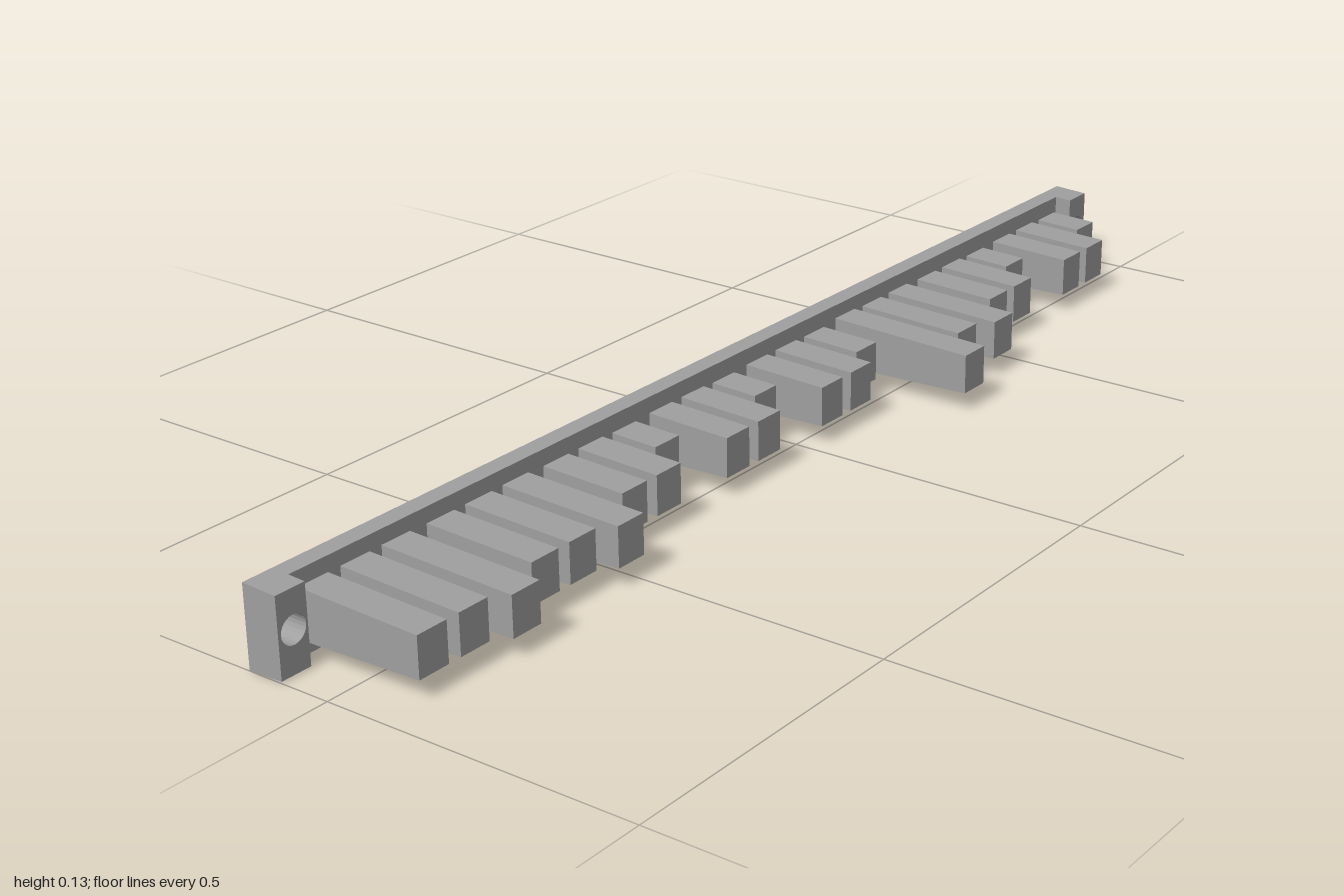
import * as THREE from 'three';

const MID = 0.063;      // height of the centre line
const BACK = -0.138;    // back face of the rail
const FACE = -0.109;    // front face of the rail
const TAB = -0.08;      // front face of the end tabs

// Narrow a geometry in y as z moves forward
function draft(geo, halfAt) {
  const p = geo.attributes.position;
  for (let i = 0; i < p.count; i++) p.setY(i, MID + p.getY(i) * halfAt(p.getZ(i)));
  geo.computeVertexNormals();
  return geo;
}

// Rectangular slab with screw holes, y given in units of half height
function slab(x0, x1, z0, z1, holes) {
  const s = new THREE.Shape();
  s.moveTo(x0, -1).lineTo(x1, -1).lineTo(x1, 1).lineTo(x0, 1).closePath();
  for (const hx of holes) {
    const h = new THREE.Path();
    h.absellipse(hx, 0.04, 0.022, 0.022 / 0.0625, 0, Math.PI * 2, true);
    s.holes.push(h);
  }
  const geo = new THREE.ExtrudeGeometry(s, { depth: z1 - z0, bevelEnabled: false, curveSegments: 12 });
  geo.translate(0, 0, z0);
  return draft(geo, z => 0.063 - 0.045 * (z - BACK));
}

export function createModel() {
  const model = new THREE.Group();
  const grey = new THREE.MeshStandardMaterial({ color: 0xa0a0a0, flatShading: true });
  grey.name = 'plain grey';
  const add = (name, geo) => {
    const m = new THREE.Mesh(geo, grey);
    m.name = name;
    model.add(m);
  };

  // Long rail and its raised, drilled ends
  add('rail', slab(-1, 1, BACK, FACE, [-0.973, 0.973]));
  add('rightEndTab', slab(-1, -0.948, FACE, TAB, [-0.973]));
  add('leftEndTab', slab(0.948, 1, FACE, TAB, [0.973]));

  // Teeth in groups of three; each number is how many steps the tip stands out
  const steps = [6, 6, 7, 5, 5, 6, 3, 3, 0, 3, 3, 0, 3, 3, 1, 8, 5, 6, 3, 3, 0, 3, 3, 0];
  steps.forEach((n, i) => {
    const tip = -0.029 + n * 0.021;
    const x = -0.907 + Math.floor(i / 3) * 0.2386 + (i % 3) * 0.0762;
    const geo = new THREE.BoxGeometry(0.054, 2, tip - FACE);
    geo.translate(x, 0, (tip + FACE) / 2);
    add('tooth' + (i + 1), draft(geo, z => 0.0315 + 0.032 * (tip - z)));
  });
  return model;
}
